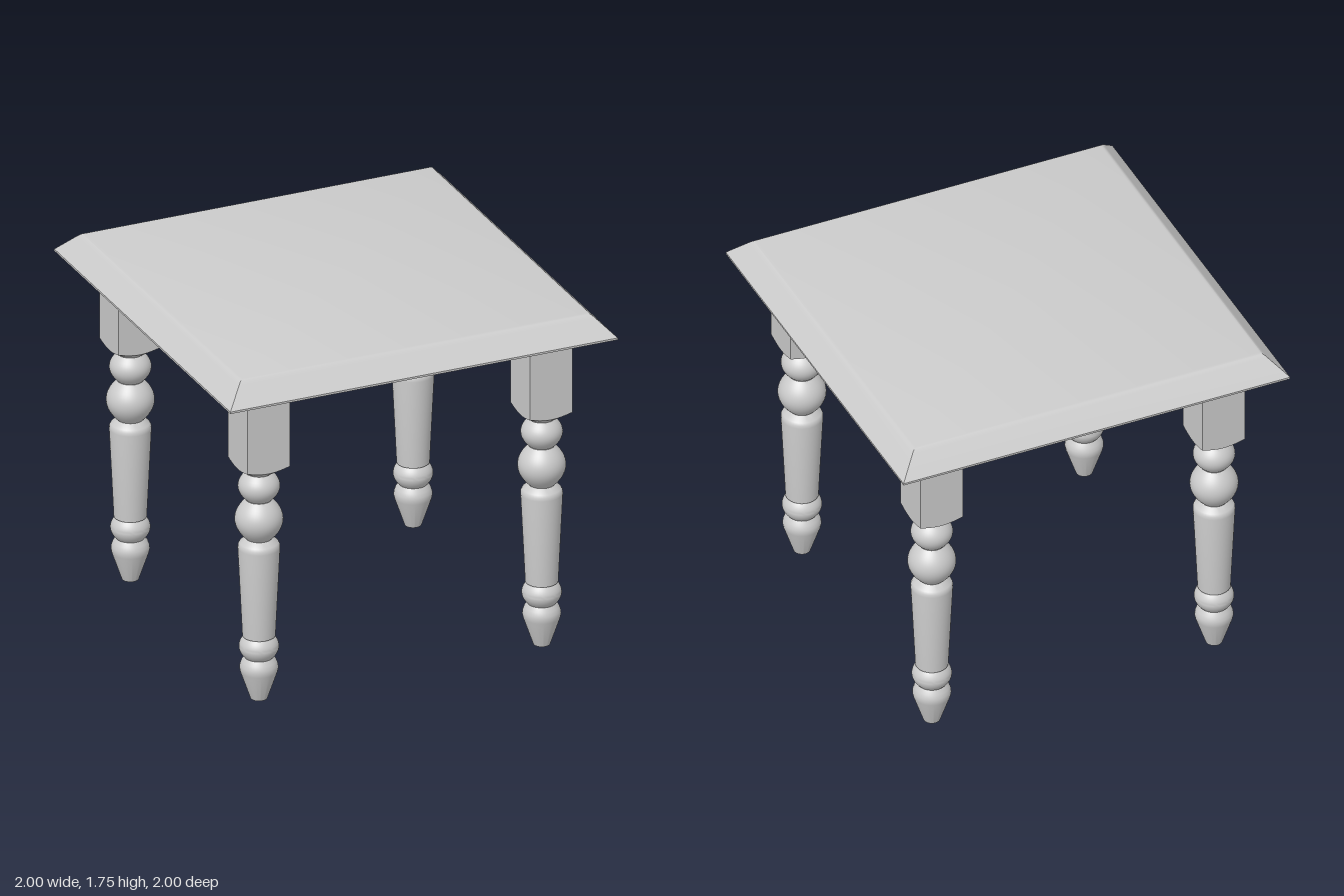
import * as THREE from 'three';
import { toCreasedNormals } from 'three/addons/utils/BufferGeometryUtils.js';

const material = new THREE.MeshStandardMaterial({ color: 0xcccccc });
const LEG = 0.73; // leg centre offset
const HALF = 0.11; // half width of the square block
const SEGMENTS = 40;

function lathe(points, segments, phi = 0) {
  return new THREE.LatheGeometry(points.map(([r, y]) => new THREE.Vector2(r, y)), segments, phi);
}

function mesh(name, geometry, crease) {
  const m = new THREE.Mesh(toCreasedNormals(geometry, crease), material);
  m.name = name;
  return m;
}

// Rounded bulge between two necks
function bead(y0, y1, neck, max, steps = 12) {
  const pts = [];
  for (let i = 0; i <= steps; i++) {
    const t = (i / steps) * 2 - 1;
    pts.push([neck + (max - neck) * (1 - t * t), y0 + ((y1 - y0) * i) / steps]);
  }
  return pts;
}

// Turned part of the leg, from foot to upper bead
function turnedLeg() {
  return lathe([
    [0, 0], [0.04, 0], [0.088, 0.14], [0.092, 0.16], [0.09, 0.175], [0.083, 0.195],
    ...bead(0.215, 0.325, 0.068, 0.095),
    [0.078, 0.325], [0.1, 0.78], [0.099, 0.795], [0.092, 0.808],
    ...bead(0.83, 1.03, 0.062, 0.115, 16),
    ...bead(1.032, 1.17, 0.062, 0.1),
  ], SEGMENTS);
}

// Square block whose lower end is turned down to a round neck
function legBlock() {
  const geo = lathe([[0.062, 1.17], [0.085, 1.186], [HALF, 1.205], [HALF, 1.64]], SEGMENTS);
  const p = geo.attributes.position;
  for (let i = 0; i < p.count; i++) {
    const x = p.getX(i), y = p.getY(i), z = p.getZ(i);
    if (y < 1.2) continue;
    // push the ring out to a square; the cut rises towards the corners
    const k = HALF / Math.max(Math.abs(x), Math.abs(z));
    const rise = y < 1.3 ? (k - 1) * 0.045 : 0;
    p.setXYZ(i, x * k, y + rise, z * k);
  }
  return geo;
}

// Square top with a wide bevel and softened upper edge
function tableTop() {
  const profile = [
    [0, 1.635], [1, 1.635], [1, 1.645], [0.918, 1.732],
    [0.908, 1.742], [0.9, 1.747], [0.89, 1.75], [0, 1.75],
  ].map(([r, y]) => [r * Math.SQRT2, y]);
  return lathe(profile, 4, Math.PI / 4);
}

export function createModel() {
  const model = new THREE.Group();
  model.name = 'table';
  model.add(mesh('tableTop', tableTop(), 0.5));

  const turned = mesh('turnedLeg', turnedLeg(), 0.6);
  const block = mesh('legBlock', legBlock(), 0.5);
  for (const [name, x, z] of [
    ['frontLeftLeg', 1, 1], ['frontRightLeg', -1, 1],
    ['backLeftLeg', 1, -1], ['backRightLeg', -1, -1],
  ]) {
    const leg = new THREE.Group();
    leg.name = name;
    leg.add(turned.clone(), block.clone());
    leg.position.set(x * LEG, 0, z * LEG);
    model.add(leg);
  }
  return model;
}
